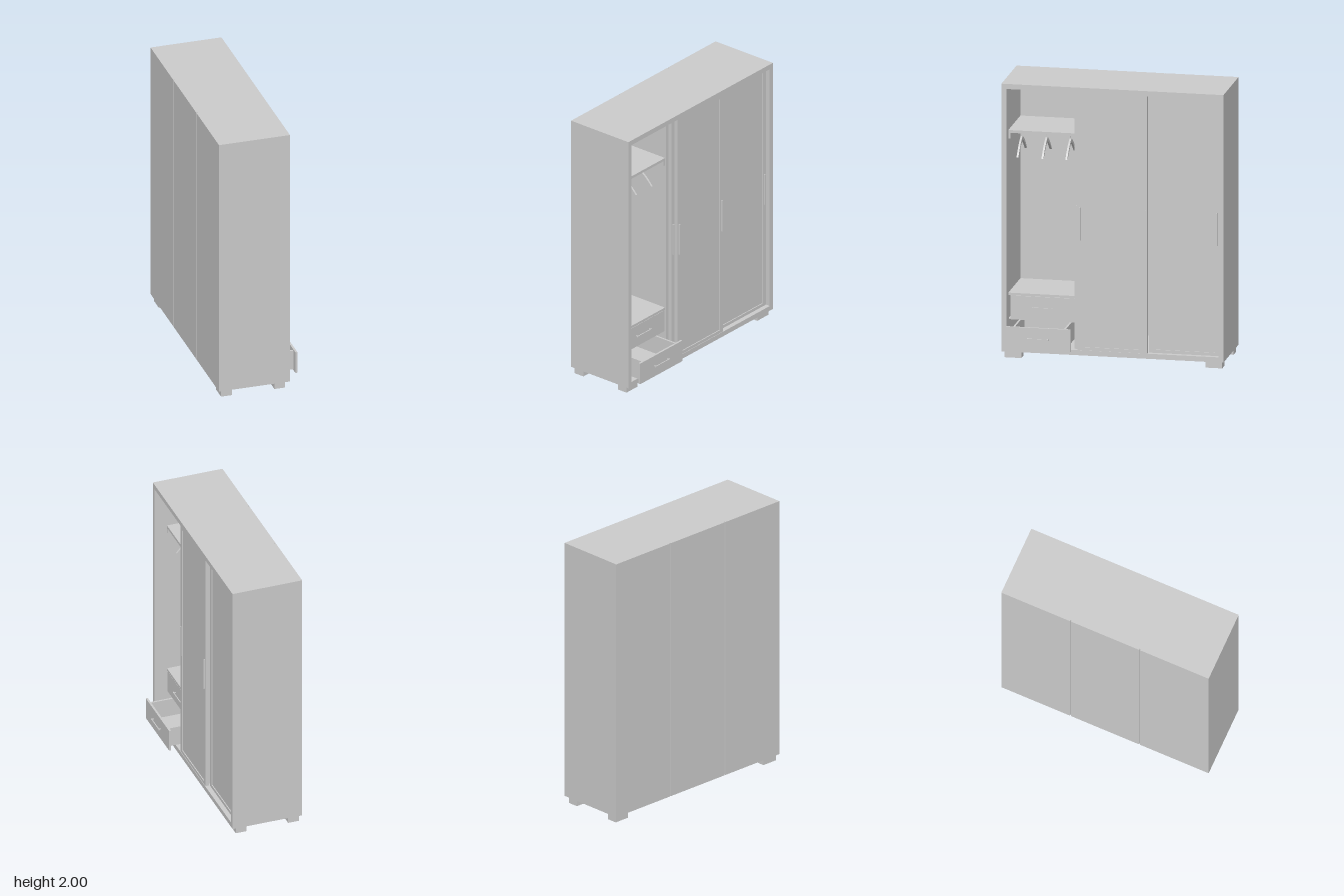
import * as THREE from 'three';

const grey = new THREE.MeshStandardMaterial({ color: 0xcccccc });

// Box from its lower and upper corners
function box(parent, name, [x0, x1], [y0, y1], [z0, z1]) {
  const m = new THREE.Mesh(new THREE.BoxGeometry(x1 - x0, y1 - y0, z1 - z0), grey);
  m.position.set((x0 + x1) / 2, (y0 + y1) / 2, (z0 + z1) / 2);
  m.name = name;
  parent.add(m);
  return m;
}

function group(parent, name) {
  const g = new THREE.Group();
  g.name = name;
  parent.add(g);
  return g;
}

// Rectangular frame in the z-y plane, extruded along x
function frame(parent, name, [x0, x1], [y0, y1], [z0, z1], [iy0, iy1], [iz0, iz1]) {
  const rect = (P, a, b, c, d) => {
    const p = new P();
    p.moveTo(a, c); p.lineTo(b, c); p.lineTo(b, d); p.lineTo(a, d); p.closePath();
    return p;
  };
  const shape = rect(THREE.Shape, -z1, -z0, y0, y1);
  shape.holes.push(rect(THREE.Path, -iz1, -iz0, iy0, iy1));
  const geo = new THREE.ExtrudeGeometry(shape, { depth: x1 - x0, bevelEnabled: false });
  geo.rotateY(Math.PI / 2);
  const m = new THREE.Mesh(geo, grey);
  m.position.x = x0;
  m.name = name;
  parent.add(m);
}

// Sliding door: frame, recessed panel and upright bar handles
function door(parent, name, front, z0, z1, handles) {
  const g = group(parent, name);
  const s = 0.034;
  frame(g, 'doorFrame', [front - 0.026, front], [0.087, 1.963], [z0, z1], [0.11, 1.94], [z0 + s, z1 - s]);
  box(g, 'doorPanel', [front - 0.02, front - 0.007], [0.11, 1.94], [z0 + s, z1 - s]);
  for (const z of handles) box(g, 'doorHandle', [front, front + 0.01], [0.89, 1.13], [z - 0.004, z + 0.004]);
}

// Open-topped drawer with an overlapping front and a bar handle
function drawer(parent, name, front, y0, y1) {
  const g = group(parent, name);
  const back = front - 0.39, in0 = front - 0.015, top = y1 - 0.008;
  box(g, 'drawerFront', [in0, front], [y0, y1], [0.287, 0.755]);
  box(g, 'drawerBottom', [back, in0], [y0 + 0.008, y0 + 0.018], [0.33, 0.71]);
  box(g, 'drawerBack', [back, back + 0.014], [y0 + 0.008, top], [0.33, 0.71]);
  for (const z of [0.33, 0.696]) box(g, 'drawerSide', [back, in0], [y0 + 0.008, top], [z, z + 0.014]);
  const hy = (y0 + y1) / 2 + 0.002;
  box(g, 'drawerHandle', [front + 0.013, front + 0.02], [hy - 0.004, hy + 0.004], [0.445, 0.605]);
  for (const z of [0.45, 0.592]) box(g, 'handlePost', [front, front + 0.014], [hy - 0.003, hy + 0.003], [z, z + 0.008]);
}

// Clothes hanger: drooping arms and a wire hook over the rod
function hanger(parent, z, top, half, turn) {
  const g = group(parent, 'hanger');
  const s = new THREE.Shape();
  s.moveTo(-half, -0.12);
  s.quadraticCurveTo(-half * 0.5, -0.03, 0, 0);
  s.quadraticCurveTo(half * 0.5, -0.03, half, -0.12);
  s.lineTo(half - 0.015, -0.122);
  s.quadraticCurveTo(half * 0.45, -0.055, 0, -0.025);
  s.quadraticCurveTo(-half * 0.45, -0.055, -half + 0.015, -0.122);
  s.closePath();
  const geo = new THREE.ExtrudeGeometry(s, { depth: 0.014, bevelEnabled: false, curveSegments: 8 });
  geo.translate(0, 0, -0.007);
  const arms = new THREE.Mesh(geo, grey);
  arms.name = 'hangerArms';
  const path = new THREE.CatmullRomCurve3([[0, -0.005], [0, 0.025], [0.016, 0.045], [0.012, 0.064], [-0.004, 0.069], [-0.016, 0.058]]
    .map(([x, y]) => new THREE.Vector3(x, y, 0)));
  const hook = new THREE.Mesh(new THREE.TubeGeometry(path, 20, 0.003, 6), grey);
  hook.name = 'hangerHook';
  g.add(arms, hook);
  g.position.set(-0.08, top, z);
  g.rotation.y = turn;
}

export function createModel() {
  const root = new THREE.Group();
  root.name = 'wardrobe';

  // Outer case and front trim
  const body = group(root, 'case');
  box(body, 'topPanel', [-0.3, 0.2], [1.965, 2], [-0.8, 0.8]);
  box(body, 'bottomPanel', [-0.3, 0.2], [0.05, 0.085], [-0.8, 0.8]);
  for (const s of [-1, 1]) box(body, 'sidePanel', [-0.3, 0.2], [0.085, 1.965], s < 0 ? [-0.8, -0.77] : [0.77, 0.8]);
  frame(body, 'frontTrim', [0.2, 0.215], [0.05, 2], [-0.8, 0.8], [0.087, 1.963], [-0.765, 0.765]);
  for (const z of [-0.265, 0.265]) box(body, 'divider', [-0.3, 0.13], [0.085, 1.965], [z - 0.015, z + 0.015]);
  const cuts = [-0.8, -0.267, 0.267, 0.8];
  for (let i = 0; i < 3; i++)
    box(body, 'backPanel', [-0.31, -0.3], [0.05, 2], [cuts[i] + (i > 0 ? 0.004 : 0), cuts[i + 1] - (i < 2 ? 0.004 : 0)]);

  // Feet
  for (const x of [-0.29, 0.105])
    for (const z of [-0.785, 0.663]) box(root, 'foot', [x, x + 0.08], [0, 0.05], [z, z + 0.122]);

  // Doors: one on the front track, two on the rear track, one slid open
  door(root, 'middleDoor', 0.212, -0.25, 0.252, [-0.235, 0.235]);
  door(root, 'slidDoor', 0.18, -0.225, 0.28, [0.265]);
  door(root, 'endDoor', 0.18, -0.765, -0.255, [-0.745]);

  // Shelf, its battens, and the hanging rod
  const shelf = group(root, 'hangingShelf');
  box(shelf, 'shelfBoard', [-0.3, 0.12], [1.62, 1.64], [0.28, 0.77]);
  box(shelf, 'backBatten', [-0.3, -0.285], [1.58, 1.62], [0.28, 0.77]);
  for (const z of [0.28, 0.755]) box(shelf, 'sideBatten', [-0.285, 0.12], [1.58, 1.62], [z, z + 0.015]);
  const rod = new THREE.Mesh(new THREE.CylinderGeometry(0.009, 0.009, 0.48, 16), grey);
  rod.name = 'rod';
  rod.rotation.x = Math.PI / 2;
  rod.position.set(-0.08, 1.602, 0.525);
  shelf.add(rod);
  hanger(root, 0.715, 1.55, 0.15, 0);
  hanger(root, 0.535, 1.55, 0.15, 0);
  hanger(root, 0.363, 1.55, 0.15, 0);

  // Drawer unit, lower drawer pulled out
  const unit = group(root, 'drawerUnit');
  box(unit, 'unitTop', [-0.3, 0.12], [0.437, 0.455], [0.28, 0.77]);
  box(unit, 'unitRail', [-0.3, 0.105], [0.258, 0.268], [0.28, 0.77]);
  drawer(unit, 'upperDrawer', 0.12, 0.272, 0.435);
  drawer(unit, 'lowerDrawer', 0.285, 0.087, 0.25);
  return root;
}
